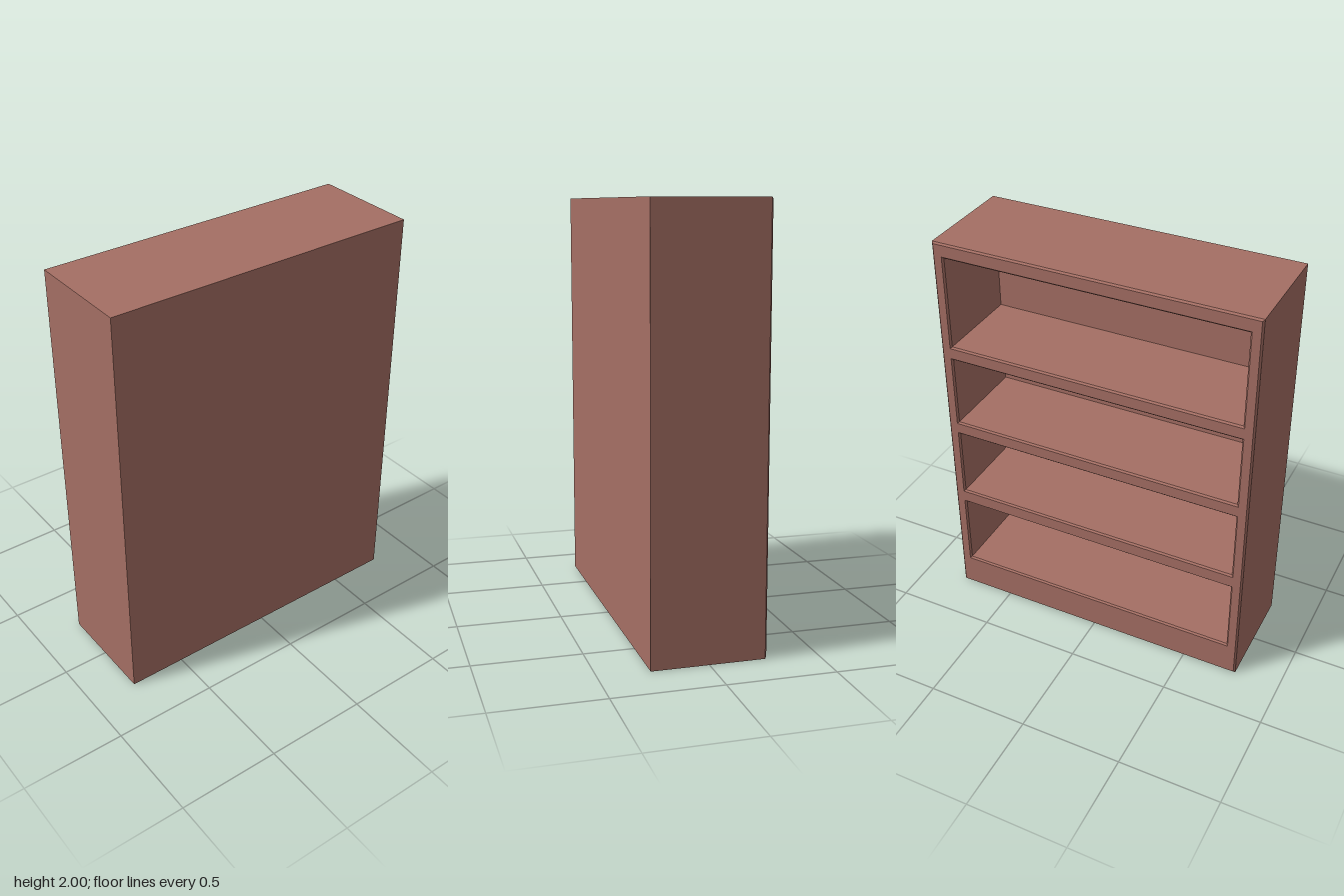
import * as THREE from 'three';

const HEIGHT = 2, WIDTH = 1.554, HALF_DEPTH = 0.265;
const SIDE = 0.055;      // side board thickness
const BACK_X = 0.185;    // inner face of the back panel
const BEVEL = 0.008;     // chamfer around the open face
// bottom and top of each compartment
const BAYS = [[0.175, 0.55], [0.625, 0.975], [1.045, 1.4], [1.47, 1.927]];

function rectangle(target, halfWidth, bottom, top) {
  target.moveTo(-halfWidth, bottom);
  target.lineTo(halfWidth, bottom);
  target.lineTo(halfWidth, top);
  target.lineTo(-halfWidth, top);
  target.closePath();
  return target;
}

export function createModel() {
  const bookcase = new THREE.Group();
  bookcase.name = 'bookcase';
  const wood = new THREE.MeshStandardMaterial({ color: 0xa56f64 });
  wood.name = 'reddish brown wood';

  // Sides, top, plinth and shelves as one chamfered frame, open toward -x
  const outline = rectangle(new THREE.Shape(), WIDTH / 2, 0, HEIGHT);
  for (const [bottom, top] of BAYS) {
    outline.holes.push(rectangle(new THREE.Path(), WIDTH / 2 - SIDE, bottom, top));
  }
  const frameGeometry = new THREE.ExtrudeGeometry(outline, {
    depth: BACK_X + HALF_DEPTH - BEVEL,
    bevelEnabled: true,
    bevelSegments: 1,
    bevelSize: BEVEL,
    bevelThickness: BEVEL,
    bevelOffset: -BEVEL,
  });
  const frame = new THREE.Mesh(frameGeometry, wood);
  frame.name = 'shelfFrame';
  frame.rotation.y = -Math.PI / 2;
  frame.position.x = BACK_X;
  bookcase.add(frame);

  // Solid back panel closing the compartments
  const thickness = HALF_DEPTH - BACK_X;
  const back = new THREE.Mesh(new THREE.BoxGeometry(thickness, HEIGHT, WIDTH), wood);
  back.name = 'backPanel';
  back.position.set(BACK_X + thickness / 2, HEIGHT / 2, 0);
  bookcase.add(back);

  return bookcase;
}
